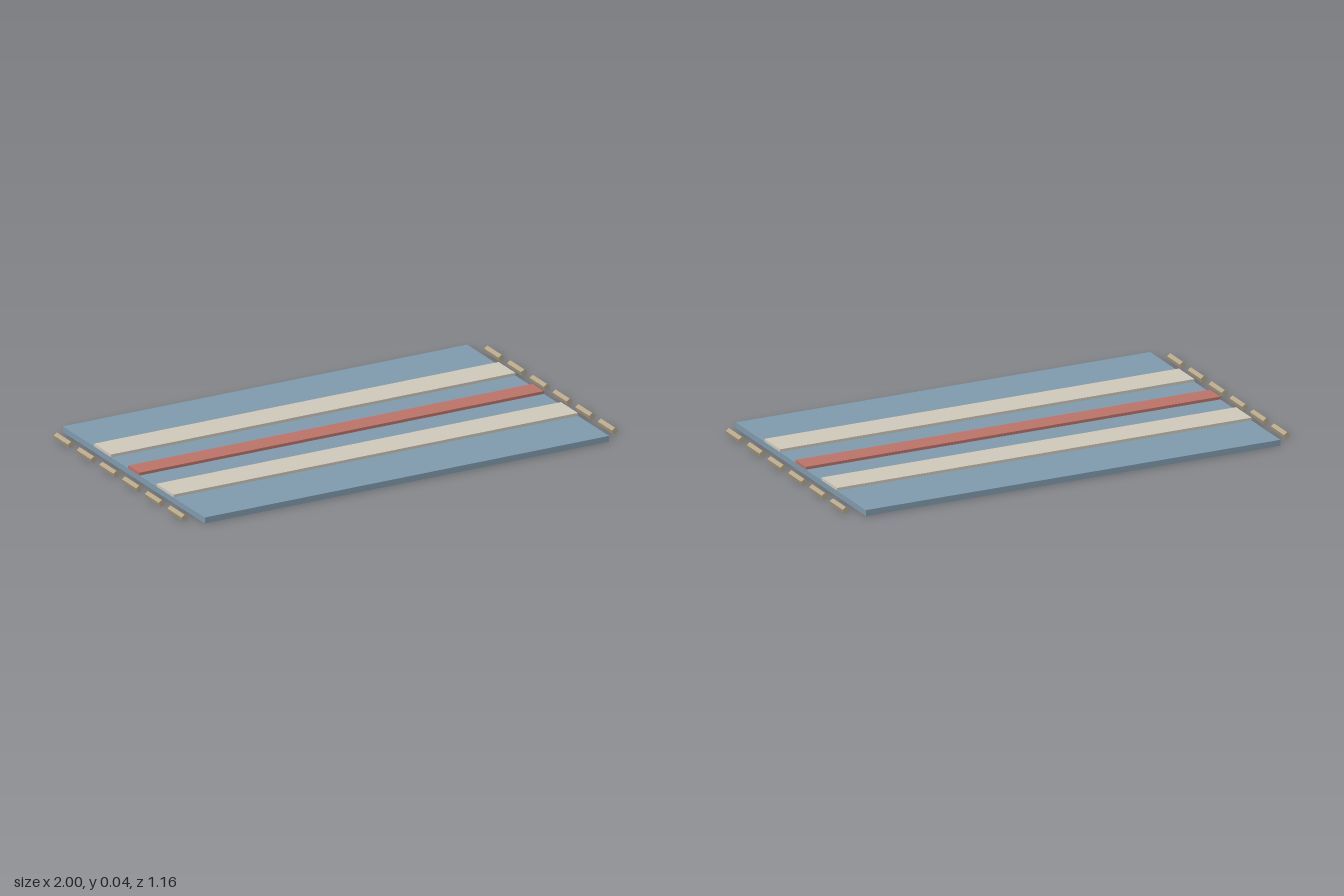
import * as THREE from 'three';

const WIDTH = 1.853;
const THICK = 0.025;

export function createModel() {
  const rug = new THREE.Group();
  rug.name = 'rug';
  const material = (color) => new THREE.MeshStandardMaterial({ color, flatShading: true });
  const blue = material(0x809cae);
  const cream = material(0xd0cabb);
  const red = material(0xbd7467);
  const tan = material(0xb5a689);

  // Flat slab lying across the rug, from height y0 to y1
  function slab(name, y0, y1, depth, z, mat) {
    const mesh = new THREE.Mesh(new THREE.BoxGeometry(WIDTH, y1 - y0, depth), mat);
    mesh.name = name;
    mesh.position.set(0, (y0 + y1) / 2, z);
    rug.add(mesh);
  }

  // Woven base and raised stripes
  slab('base', 0, THICK, 1.16, 0, blue);
  slab('centreStripe', THICK, 0.037, 0.092, 0, red);
  slab('frontStripe', THICK, 0.037, 0.139, 0.255, cream);
  slab('backStripe', THICK, 0.037, 0.139, -0.255, cream);

  // Five-sided fringe tassels along both short ends, ridge upward
  const tasselShape = new THREE.CylinderGeometry(0.0148, 0.0148, 0.116, 5).rotateX(-Math.PI / 2);
  for (const side of [-1, 1]) {
    for (let i = 0; i < 6; i++) {
      const tassel = new THREE.Mesh(tasselShape, tan);
      tassel.name = (side > 0 ? 'leftTassel' : 'rightTassel') + (i + 1);
      tassel.position.set(side * 0.986, 0.0145, (i - 2.5) * 0.1855);
      rug.add(tassel);
    }
  }
  return rug;
}
